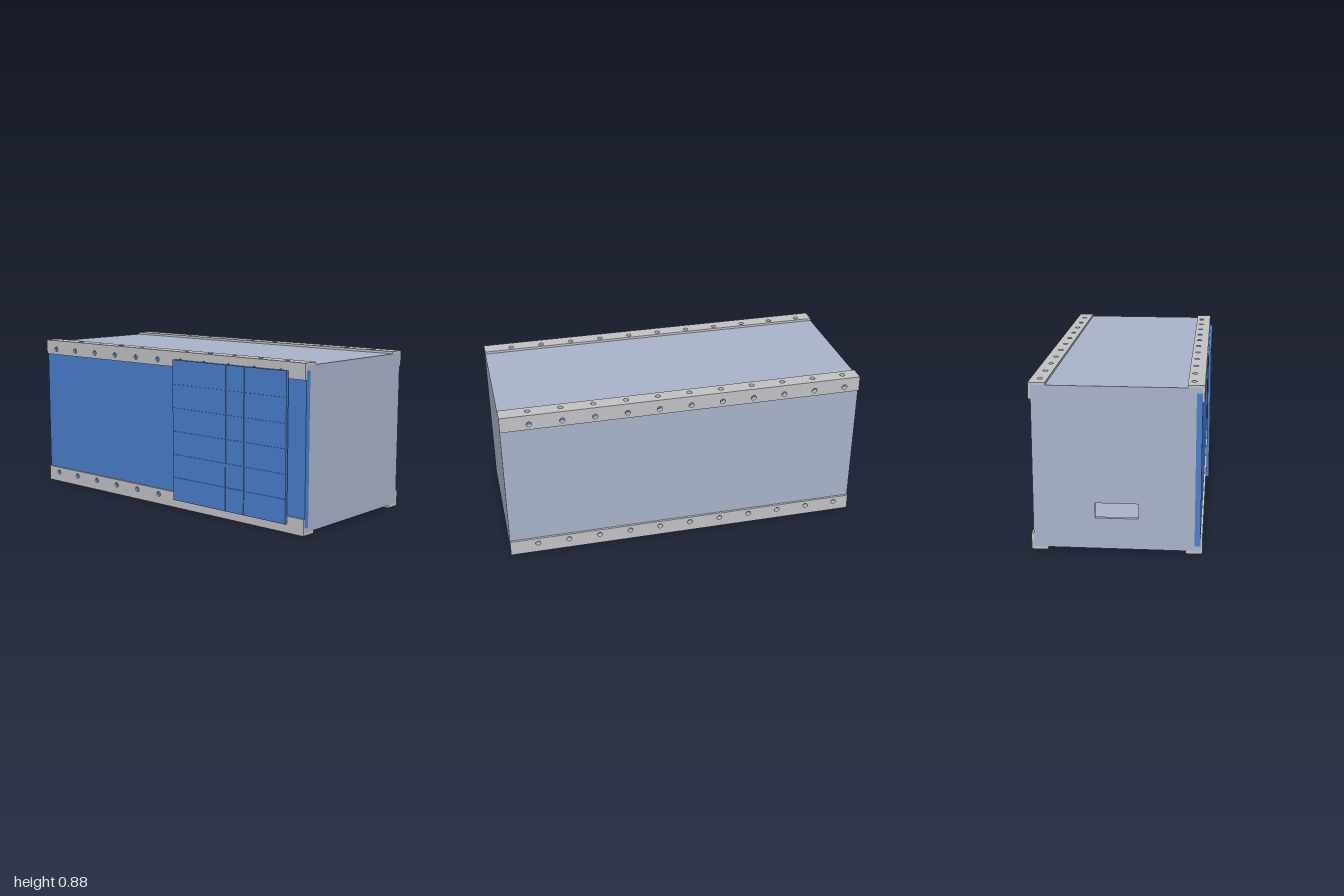
import * as THREE from 'three';

const mat = (name, color) => {
  const m = new THREE.MeshStandardMaterial({ color });
  m.name = name;
  return m;
};

export function createModel() {
  const root = new THREE.Group();
  root.name = 'boxSatelliteBody';
  const panelGrey = mat('blueGreyPanel', 0xaab4ca);
  const railGrey = mat('railGrey', 0xc3c3c5);
  const blue = mat('cellBlue', 0x4a7fcc);

  const R = 0.0145;
  const boltX = Array.from({ length: 11 }, (_, i) => -0.912 + i * 0.1757);
  const boltRow = (v) => boltX.map((u) => ({ u, v, r: R }));

  // Flat plate with round {u,v,r} or rectangular {u,v,w,h} holes.
  // 'xy' grows to +z from pos, 'xz' grows down from pos, 'zy' grows to -x from pos.
  function plate(name, material, plane, [u0, u1, v0, v1], pos, depth, holes = [], parent = root) {
    const s = new THREE.Shape([[u0, v0], [u1, v0], [u1, v1], [u0, v1]].map((p) => new THREE.Vector2(...p)));
    for (const { u, v, r, w, h } of holes) {
      const p = new THREE.Path();
      if (r) p.absarc(u, v, r, 0, Math.PI * 2, true);
      else {
        p.moveTo(u - w / 2, v - h / 2);
        p.lineTo(u - w / 2, v + h / 2);
        p.lineTo(u + w / 2, v + h / 2);
        p.lineTo(u + w / 2, v - h / 2);
        p.closePath();
      }
      s.holes.push(p);
    }
    const g = new THREE.ExtrudeGeometry(s, { depth, bevelEnabled: false, curveSegments: 10 });
    if (plane === 'xy') g.translate(0, 0, pos);
    if (plane === 'xz') g.rotateX(Math.PI / 2).translate(0, pos, 0);
    if (plane === 'zy') g.rotateY(-Math.PI / 2).translate(pos, 0, 0);
    const m = new THREE.Mesh(g, material);
    m.name = name;
    parent.add(m);
    return m;
  }

  // Hollow body
  const topHoles = [...boltRow(-0.4), ...boltRow(0.375)];
  const port = { u: 0.17, v: -0.02, w: 0.15, h: 0.15 };
  plate('roof', panelGrey, 'xz', [-1, 1, -0.435, 0.42], 0.87, 0.026, topHoles);
  plate('floor', panelGrey, 'xz', [-1, 1, -0.435, 0.42], 0.041, 0.026,
    [...topHoles, port, { u: -0.94, v: 0, w: 0.022, h: 0.1 }]);
  plate('backWall', panelGrey, 'xy', [-0.98, 0.98, 0.041, 0.844], -0.435, 0.018,
    [...boltRow(0.056), ...boltRow(0.829)]);
  plate('leftEnd', panelGrey, 'zy', [-0.435, 0.39, 0.041, 0.844], 1, 0.02);
  plate('rightEnd', panelGrey, 'zy', [-0.435, 0.39, 0.041, 0.844], -0.98, 0.02,
    [{ u: -0.007, v: 0.22, w: 0.22, h: 0.08 }]);
  plate('frontPanel', blue, 'xy', [-1, 1, 0.041, 0.844], 0.39, 0.03);

  // Recessed port in the floor: side walls, ceiling with a round opening, cap
  const recess = new THREE.Group();
  recess.name = 'floorPort';
  root.add(recess);
  const a = port.w / 2;
  plate('portWalls', panelGrey, 'xz', [0.17 - a - 0.01, 0.17 + a + 0.01, -0.02 - a - 0.01, -0.02 + a + 0.01],
    0.07, 0.029, [port], recess);
  plate('portCeiling', panelGrey, 'xz', [0.17 - a - 0.01, 0.17 + a + 0.01, -0.02 - a - 0.01, -0.02 + a + 0.01],
    0.1, 0.03, [{ u: 0.17, v: -0.02, r: 0.04 }], recess);
  plate('portCap', railGrey, 'xz', [0.17 - a, 0.17 + a, -0.02 - a, -0.02 + a], 0.105, 0.005, [], recess);

  // Angle rails along the four long edges
  const sides = [
    { side: 'front', z: [0.345, 0.43], wall: 0.42, t: 0.01, hole: 0.375 },
    { side: 'back', z: [-0.447, -0.361], wall: -0.447, t: 0.012, hole: -0.4 },
  ];
  const levels = [
    { level: 'Lower', top: 0.015, t: 0.015, y: [0.015, 0.088], hole: 0.056 },
    { level: 'Upper', top: 0.883, t: 0.013, y: [0.797, 0.87], hole: 0.829 },
  ];
  for (const s of sides) for (const l of levels) {
    const rail = new THREE.Group();
    rail.name = s.side + l.level + 'Rail';
    root.add(rail);
    plate('flatFlange', railGrey, 'xz', [-1, 1, ...s.z], l.top, l.t, boltRow(s.hole), rail);
    plate('uprightFlange', railGrey, 'xy', [-1, 1, ...l.y], s.wall, s.t, boltRow(l.hole), rail);
  }

  // Cell array mounted on the front rails: backing sheet and raised tiles
  const array = new THREE.Group();
  array.name = 'cellArray';
  root.add(array);
  plate('arrayBacking', blue, 'xy', [0.1, 0.895, 0.047, 0.838], 0.431, 0.012, [], array);
  const cols = [0.1, 0.49, 0.617, 0.895];
  const rows = [0.047, 0.18, 0.311, 0.442, 0.573, 0.705, 0.838];
  const gap = 0.002;
  for (let c = 0; c < 3; c++) for (let r = 0; r < 6; r++) {
    plate('cellTile', blue, 'xy', [
      cols[c] + (c ? gap : 0), cols[c + 1] - (c < 2 ? gap : 0),
      rows[r] + (r ? gap : 0), rows[r + 1] - (r < 5 ? gap : 0),
    ], 0.443, 0.004, [], array);
  }
  return root;
}
